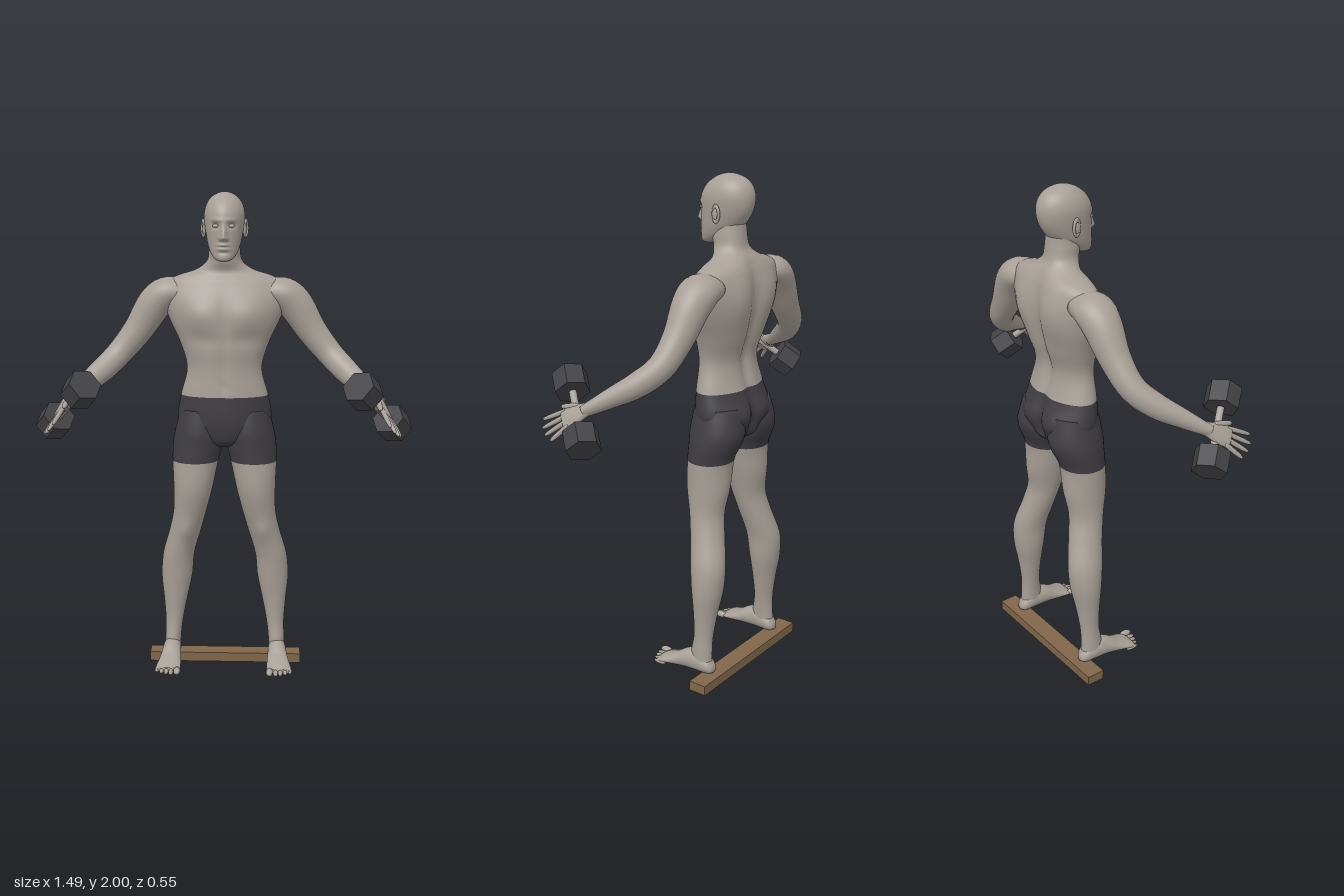
import * as THREE from 'three';

const V = (x, y, z) => new THREE.Vector3(x, y, z);
const bump = (d, w) => Math.exp(-(d * d) / (w * w));

const mat = (name, color) => Object.assign(new THREE.MeshStandardMaterial({ color }), { name });

// Smooth interpolation of the rows of numbers that describe cross-sections
function sample(rows, t) {
  const n = rows.length - 1, i = Math.min(Math.floor(t), n - 1), f = t - i;
  const [p, a, b, q] = [-1, 0, 1, 2].map(k => rows[Math.min(Math.max(i + k, 0), n)]);
  return a.map((_, k) => a[k] + 0.5 * f * (b[k] - p[k] + f * (2 * p[k] - 5 * a[k] + 4 * b[k] - q[k]
    + f * (3 * (a[k] - b[k]) + q[k] - p[k]))));
}

// Closed skin through elliptical rings; frame() gives centre and the two half axes.
// Rows before index `split` use material group 0, the rest group 1.
function loft(rows, frame, { seg = 32, sub = 5, split = 0, shape } = {}) {
  const pos = [], idx = [], rings = (rows.length - 1) * sub;
  for (let i = 0; i <= rings; i++) {
    const t = i / sub, row = sample(rows, t);
    const next = sample(rows, Math.min(t + 0.1, rows.length - 1)), prev = sample(rows, Math.max(t - 0.1, 0));
    const [c, a, b] = frame(row, prev, next);
    for (let j = 0; j < seg; j++) {
      const w = (j / seg) * Math.PI * 2, s = Math.sin(w);
      const p = c.clone().addScaledVector(a, Math.cos(w)).addScaledVector(b, s);
      if (shape) shape(p, s);
      pos.push(p.x, p.y, p.z);
    }
  }
  for (const i of [0, rings]) {
    const [c] = frame(rows[i / sub], rows[i / sub], rows[i / sub]);
    pos.push(c.x, c.y, c.z);
  }
  const c0 = (rings + 1) * seg;
  for (let j = 0; j < seg; j++) idx.push(c0, (j + 1) % seg, j);
  for (let i = 0; i < rings; i++) for (let j = 0; j < seg; j++) {
    const a = i * seg + j, b = i * seg + (j + 1) % seg;
    idx.push(a, b, b + seg, a, b + seg, a + seg);
  }
  for (let j = 0; j < seg; j++) idx.push(c0 + 1, rings * seg + j, rings * seg + (j + 1) % seg);
  const g = new THREE.BufferGeometry();
  g.setAttribute('position', new THREE.Float32BufferAttribute(pos, 3));
  g.setIndex(idx);
  // Turn the faces outwards if the rings ran the other way
  let volume = 0;
  const at = k => V().fromArray(pos, idx[k] * 3);
  for (let k = 0; k < idx.length; k += 3) volume += at(k).dot(at(k + 1).cross(at(k + 2)));
  if (volume < 0) flip(g);
  if (split) {
    const cut = seg * 3 + split * sub * seg * 6;
    g.addGroup(0, cut, 0);
    g.addGroup(cut, idx.length - cut, 1);
  }
  g.computeVertexNormals();
  return g;
}

function flip(g) {
  const a = g.index.array;
  for (let k = 0; k < a.length; k += 3) [a[k], a[k + 1]] = [a[k + 1], a[k]];
}

// Ring frames: level rings [y, x, halfX, zFront, zBack], foot rings [z, x, halfX, top, bottom],
// limb rings [x, y, z, radius, radius]
const level = ([y, x, h, f, b]) => [V(x, y, (f + b) / 2), V(h, 0, 0), V(0, 0, (f - b) / 2)];
const upright = ([z, x, h, t, b]) => [V(x, (t + b) / 2, z), V(h, 0, 0), V(0, (t - b) / 2, 0)];
function limb([x, y, z, r, q], prev, next) {
  const t = V(...next.slice(0, 3)).sub(V(...prev.slice(0, 3)));
  if (t.lengthSq() < 1e-12) t.set(0.6, -0.8, 0);
  t.normalize();
  const a = t.clone().cross(V(0, 0, 1)).normalize(), b = a.clone().cross(t);
  return [V(x, y, z), a.multiplyScalar(r), b.multiplyScalar(q)];
}

export function createModel() {
  const model = new THREE.Group();
  model.name = 'dumbbellAthlete';
  const skin = mat('skin', 0xa8a098), cloth = mat('shorts', 0x3f3d43);
  const iron = mat('darkIron', 0x434347), steel = mat('steel', 0xa5a19c), wood = mat('wood', 0x80664a);
  const add = (name, geo, material, parent = model) => {
    const m = new THREE.Mesh(geo, material);
    m.name = name;
    parent.add(m);
    return m;
  };
  const pair = (name, geo, material) => {
    add('left' + name, geo, material);
    const g = geo.clone().scale(-1, 1, 1);
    flip(g);
    add('right' + name, g, material);
  };
  const ball = (x, y, z, a, b, c) => new THREE.SphereGeometry(1, 16, 12).scale(a, b, c).translate(x, y, z);

  // Torso and neck, with the seat of the shorts below the waist
  const torso = [
    [0.975, 0, 0.05, -0.1, -0.2], [1.0, 0, 0.12, -0.065, -0.235], [1.04, 0, 0.17, -0.05, -0.25],
    [1.1, 0, 0.192, -0.042, -0.262], [1.19, 0, 0.178, -0.042, -0.233], [1.3, 0, 0.152, -0.045, -0.215],
    [1.4, 0, 0.178, -0.035, -0.243], [1.5, 0, 0.224, -0.035, -0.262], [1.58, 0, 0.25, -0.048, -0.262],
    [1.64, 0, 0.235, -0.07, -0.252], [1.67, 0, 0.19, -0.082, -0.242], [1.695, 0, 0.115, -0.088, -0.23],
    [1.73, 0, 0.071, -0.075, -0.208], [1.78, 0, 0.062, -0.065, -0.2], [1.84, 0, 0.055, -0.07, -0.195]];
  add('torso', loft(torso, level, {
    seg: 64, sub: 6, split: 4,
    shape(p, s) {
      const x = Math.abs(p.x), y = p.y, spine = bump(y - 1.4, 0.24);
      if (s > 0) {
        // chest, ribs, belly line and navel
        p.z += s * (0.02 * bump(x - 0.1, 0.075) * bump(y - 1.52, 0.06) - 0.008 * bump(x - 0.09, 0.07) * bump(y - 1.42, 0.03)
          - 0.008 * bump(p.x, 0.018) * bump(y - 1.42, 0.17) - 0.008 * bump(p.x, 0.012) * bump(y - 1.235, 0.014));
      } else {
        // spine groove, shoulder blades, buttocks
        p.z -= s * (0.022 * bump(p.x, 0.03) * spine + 0.025 * bump(p.x, 0.018) * bump(y - 1.07, 0.08)
          - 0.018 * bump(x - 0.1, 0.06) * bump(y - 1.56, 0.1) - 0.014 * bump(x - 0.09, 0.06) * bump(y - 1.09, 0.06));
      }
    },
  }), [cloth, skin]);

  // Head with brow, eye sockets, nose, lips and chin modelled into the face
  const head = [
    [1.733, 0, 0.012, -0.025, -0.055], [1.742, 0, 0.034, -0.012, -0.085], [1.765, 0, 0.052, -0.011, -0.13],
    [1.8, 0, 0.065, -0.012, -0.18], [1.84, 0, 0.073, -0.012, -0.213], [1.88, 0, 0.079, -0.012, -0.231],
    [1.92, 0, 0.08, -0.017, -0.235], [1.955, 0, 0.07, -0.038, -0.224], [1.98, 0, 0.051, -0.068, -0.2],
    [1.994, 0, 0.028, -0.098, -0.167], [2.0, 0, 0.006, -0.125, -0.14]];
  add('head', loft(head, level, {
    seg: 96, sub: 10,
    shape(p, s) {
      if (s < 0) return;
      const x = Math.abs(p.x), y = p.y;
      const nose = y > 1.825 ? bump(y - 1.825, 0.042) : bump(y - 1.825, 0.009);
      p.z += s * (0.026 * bump(x, 0.012) * nose + 0.008 * bump(x - 0.012, 0.008) * bump(y - 1.823, 0.008)
        - 0.012 * bump(x - 0.031, 0.016) * bump(y - 1.873, 0.012) + 0.005 * bump(x - 0.03, 0.025) * bump(y - 1.893, 0.009)
        + 0.007 * bump(x, 0.022) * (bump(y - 1.798, 0.006) + bump(y - 1.782, 0.006))
        - 0.004 * bump(x, 0.03) * bump(y - 1.79, 0.003) - 0.005 * bump(x, 0.025) * bump(y - 1.768, 0.007));
    },
  }), skin);
  pair('Eyelid', ball(0.03, 1.871, -0.031, 0.014, 0.008, 0.012), skin);
  const ear = new THREE.TorusGeometry(0.019, 0.006, 8, 20).scale(0.9, 1.5, 1).rotateY(Math.PI / 2 - 0.35);
  pair('EarRim', ear.translate(0.084, 1.858, -0.128), skin);
  pair('EarBowl', ball(0.08, 1.855, -0.124, 0.008, 0.025, 0.015), skin);

  // Legs, shorts above the hem
  const leg = [
    [1.13, 0.1, 0.08, -0.06, -0.245], [1.04, 0.104, 0.1, -0.046, -0.266], [0.985, 0.11, 0.103, -0.046, -0.255],
    [0.915, 0.12, 0.095, -0.046, -0.226], [0.8, 0.13, 0.081, -0.045, -0.22], [0.7, 0.144, 0.069, -0.065, -0.206],
    [0.61, 0.165, 0.066, -0.086, -0.222], [0.5, 0.195, 0.066, -0.106, -0.249], [0.4, 0.204, 0.065, -0.118, -0.246],
    [0.3, 0.21, 0.05, -0.128, -0.227], [0.2, 0.216, 0.037, -0.132, -0.213], [0.13, 0.221, 0.034, -0.122, -0.212],
    [0.07, 0.223, 0.033, -0.115, -0.215]];
  pair('Leg', loft(leg, level, {
    seg: 40, split: 3,
    shape(p, s) { if (s > 0) p.z += 0.01 * s * bump(p.x - 0.16, 0.03) * bump(p.y - 0.62, 0.04); },
  }), [cloth, skin]);
  const foot = [
    [-0.226, 0.222, 0.015, 0.07, 0.046], [-0.205, 0.222, 0.031, 0.1, 0.036], [-0.15, 0.224, 0.037, 0.128, 0.034],
    [-0.1, 0.225, 0.04, 0.118, 0.034], [-0.05, 0.228, 0.046, 0.088, 0.033], [0.0, 0.232, 0.052, 0.066, 0.033],
    [0.022, 0.232, 0.048, 0.055, 0.034]];
  pair('Foot', loft(foot, upright), skin);
  for (let i = 0; i < 5; i++) {
    const r = i ? 0.0105 - i * 0.0005 : 0.0145;
    pair('Toe' + (i + 1), ball(i ? 0.198 + i * 0.02 : 0.193, 0.033 + r, 0.034 - i * i * 0.0018, r, r, 0.028), skin);
  }

  // Arms
  const arm = [
    [0.17, 1.605, -0.165, 0.05, 0.07], [0.235, 1.598, -0.165, 0.066, 0.08], [0.288, 1.55, -0.163, 0.07, 0.073],
    [0.352, 1.45, -0.157, 0.06, 0.058], [0.427, 1.358, -0.137, 0.052, 0.05], [0.49, 1.297, -0.08, 0.049, 0.046],
    [0.55, 1.25, -0.008, 0.039, 0.035], [0.6, 1.21, 0.055, 0.028, 0.024], [0.612, 1.198, 0.075, 0.026, 0.02]];
  pair('Arm', loft(arm, limb), skin);

  // Open hands: across runs along the dumbbell, ahead towards the fingertips
  const front = V(0.537, 1.265, 0.2), rear = V(0.668, 1.11, 0.036);
  const across = rear.clone().sub(front).normalize();
  const ahead = V(0.27, -0.48, 0.83).addScaledVector(across, 0.1).normalize();
  const normal = across.clone().cross(ahead).normalize();
  const knuckle = V(0.635, 1.16, 0.145);
  const palmFrame = ([x, y, z, a, b]) => [V(x, y, z), across.clone().multiplyScalar(a), normal.clone().multiplyScalar(b)];
  pair('Palm', loft([[0.592, 1.217, 0.045, 0.024, 0.02], [0.605, 1.204, 0.07, 0.028, 0.02], [0.62, 1.182, 0.107, 0.04, 0.018],
    [0.635, 1.16, 0.145, 0.042, 0.013], [0.638, 1.155, 0.155, 0.036, 0.008]], palmFrame), skin);
  const finger = (name, from, to, r) => {
    const rows = [0, 0.35, 0.7, 0.93, 1].map((t, i) => [...from.clone().lerp(to, t).toArray(),
      ...Array(2).fill(r * [1, 1, 0.9, 0.65, 0.2][i])]);
    pair(name, loft(rows, limb, { seg: 12, sub: 3 }), skin);
  };
  const onHand = (s, l) => knuckle.clone().addScaledVector(across, s).addScaledVector(ahead, l);
  [0.095, 0.105, 0.1, 0.08].forEach((l, i) =>
    finger('Finger' + (i + 1), onHand(-0.032 + i * 0.021, -0.01), onHand(-0.052 + i * 0.035, l), 0.0095));
  finger('Thumb', onHand(-0.02, -0.07), onHand(-0.06, 0.005), 0.012);

  // Hexagonal dumbbells
  for (const side of [1, -1]) {
    const bell = new THREE.Group();
    bell.name = side > 0 ? 'leftDumbbell' : 'rightDumbbell';
    const ends = [front, rear].map(p => V(p.x * side, p.y, p.z));
    bell.position.copy(ends[0]).lerp(ends[1], 0.5);
    bell.quaternion.setFromUnitVectors(V(0, 1, 0), ends[0].clone().sub(ends[1]).normalize());
    const half = ends[0].distanceTo(ends[1]) / 2;
    for (const e of [1, -1]) {
      const hex = new THREE.CylinderGeometry(0.067, 0.067, 0.086, 6).toNonIndexed();
      hex.computeVertexNormals();
      add(e > 0 ? 'frontWeight' : 'rearWeight', hex, iron, bell).position.y = e * half;
    }
    add('handle', new THREE.CylinderGeometry(0.014, 0.014, half * 2, 20), steel, bell);
    model.add(bell);
  }

  // Heel plank
  add('plank', new THREE.BoxGeometry(0.65, 0.04, 0.075), wood).position.set(0, 0.02, -0.22);
  return model;
}
